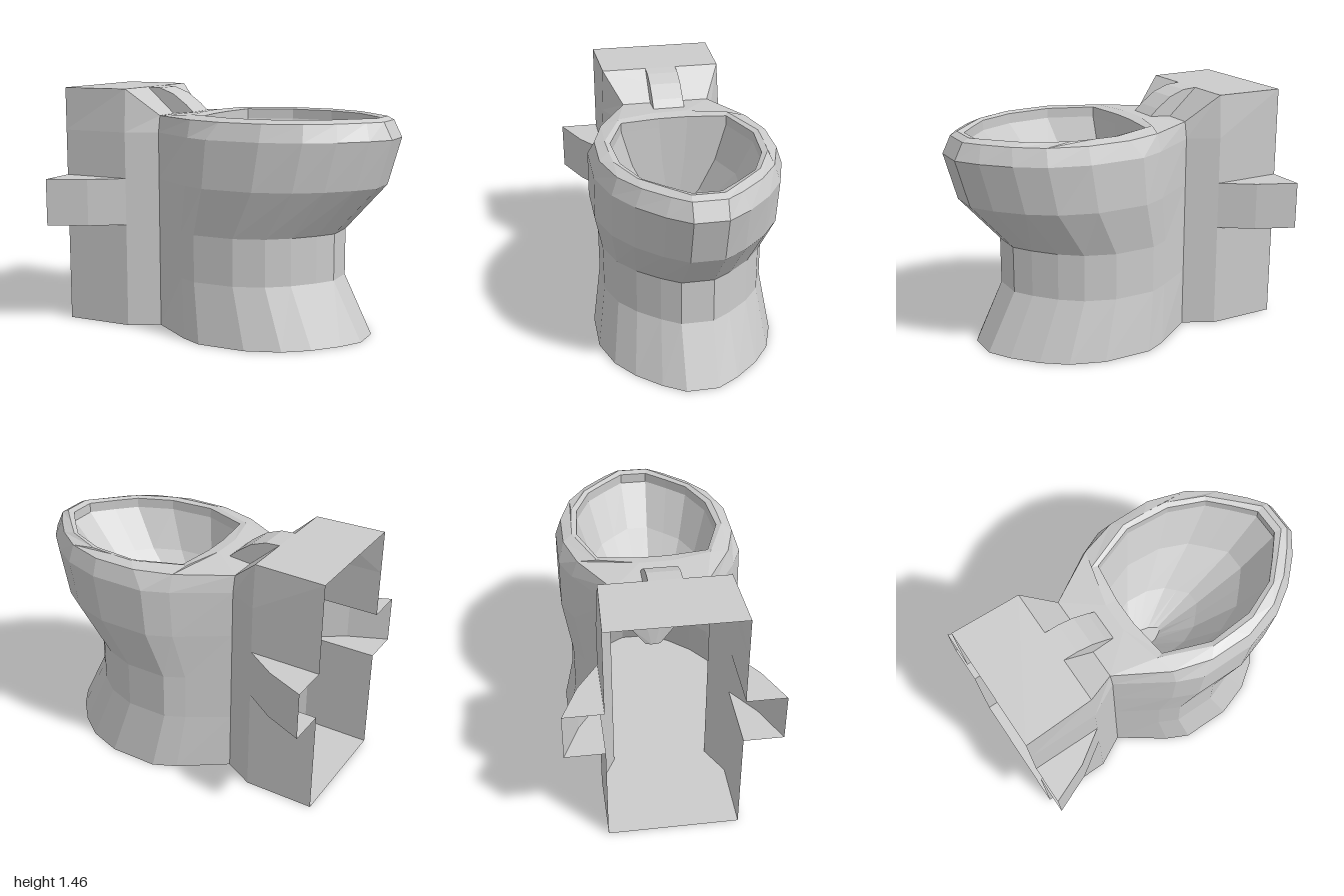
import * as THREE from 'three';

const material = new THREE.MeshStandardMaterial({ color: 0xcccccc, flatShading: true, side: THREE.DoubleSide });

// Surface through rows of [x, y, z] points, leaving out skipped quads
function loft(name, rows, skip = () => false) {
  const pos = [];
  const a = new THREE.Vector3(), b = new THREE.Vector3(), c = new THREE.Vector3();
  const tri = (p, q, r) => {
    a.fromArray(p); b.fromArray(q); c.fromArray(r);
    if (b.sub(a).cross(c.sub(a)).length() > 1e-7) pos.push(...p, ...q, ...r);
  };
  for (let i = 0; i < rows.length - 1; i++) {
    for (let j = 0; j < rows[i].length - 1; j++) {
      if (skip(i, j)) continue;
      const [p, q, r, s] = [rows[i][j], rows[i][j + 1], rows[i + 1][j + 1], rows[i + 1][j]];
      tri(p, q, r);
      tri(p, r, s);
    }
  }
  const geometry = new THREE.BufferGeometry();
  geometry.setAttribute('position', new THREE.Float32BufferAttribute(pos, 3));
  geometry.computeVertexNormals();
  const mesh = new THREE.Mesh(geometry, material);
  mesh.name = name;
  return mesh;
}

// Continue a +z half outline round the front to the -z side
const mirror = half => [...half, ...half.map(([x, y, z]) => [x, y, -z]).reverse()];
const closed = half => { const ring = mirror(half); return [...ring, ring[0]]; };

// Half outlines [x, z] running from the back to the front
const tankHalf = [[-1, 0.38], [-0.58, 0.38], [-0.4, 0.285]];
const bowlHalf = [[-0.1, 0.475], [0.05, 0.54], [0.38, 0.54], [0.61, 0.47], [0.77, 0.365], [0.91, 0.225], [1, 0.095]];
const topHalf = [[-1, 1.46, 0.38], [-0.58, 1.46, 0.365], [-0.4, 1.3, 0.265], [-0.1, 1.3, 0.44], [0.12, 1.3, 0.505],
  [0.38, 1.3, 0.505], [0.6, 1.3, 0.435], [0.755, 1.3, 0.325], [0.88, 1.3, 0.19], [0.95, 1.3, 0.095]];
const rimHalf = [[-0.19, 0.09], [-0.13, 0.33], [0.17, 0.45], [0.31, 0.445], [0.45, 0.435], [0.67, 0.335], [0.79, 0.215], [0.91, 0.09]];
const innerHalf = [[-0.12, 0.085], [-0.09, 0.32], [0.18, 0.42], [0.31, 0.41], [0.45, 0.4], [0.66, 0.31], [0.765, 0.2], [0.87, 0.08]];

// Body levels: height, front reach, side width
const levels = [[0, 0.84, 1], [0.355, 0.665, 0.9], [0.635, 0.665, 0.9], [0.92, 0.92, 1], [1.2, 1, 1]];

function level([y, front, width]) {
  const k = (front + 0.4) / 1.4;
  return [
    ...tankHalf.map(([x, z]) => [x, y, z]),
    ...bowlHalf.map(([x, z], i) => [-0.4 + (x + 0.4) * k, y, z * (i === 6 ? 1 : width)])
  ];
}

export function createModel() {
  const group = new THREE.Group();
  group.name = 'toilet';

  // Outer shell, open at the back and into the side brackets
  const last = 2 * topHalf.length - 2;
  const shellRows = [...levels.map(l => mirror(level(l))), mirror(topHalf)];
  group.add(loft('bodyShell', shellRows, (i, j) => i === 2 && (j === 0 || j === last)));

  // Base
  const outline = mirror(level(levels[0])).map(([x, , z]) => new THREE.Vector2(x, z));
  const base = new THREE.Mesh(new THREE.ShapeGeometry(new THREE.Shape(outline)).rotateX(Math.PI / 2), material);
  base.name = 'base';
  group.add(base);

  // Tank top and its slope down to the neck
  group.add(loft('tankTop', topHalf.slice(0, 3).map(([x, y, z]) => [[x, y, z], [x, y, -z]]).reverse()
    .map(row => row.reverse())));

  // Rim with a short inner wall
  const at = (half, y) => closed(half.map(([x, z]) => [x, y, z]));
  group.add(loft('rim', [closed(topHalf.slice(2)), at(rimHalf, 1.32), at(innerHalf, 1.31), at(innerHalf, 1.25)]));

  // Basin, steep at the back and narrowing to a slot: height, length, width
  const basinLevels = [[1.25, 1, 1], [1.02, 0.8, 0.8], [0.82, 0.5, 0.5], [0.67, 0.24, 0.14], [0.67, 0.24, 0]];
  group.add(loft('basin', basinLevels.map(([y, sx, sz]) =>
    closed(innerHalf.map(([x, z]) => [-0.12 + (x + 0.12) * sx, y, z * sz])))));

  // Flush hump over the tank slope
  const hump = new THREE.Shape([[-0.58, 1.46], [-0.4, 1.3], [-0.25, 1.3], [-0.31, 1.355], [-0.4, 1.42], [-0.495, 1.455]]
    .map(p => new THREE.Vector2(...p)));
  const humpMesh = new THREE.Mesh(
    new THREE.ExtrudeGeometry(hump, { depth: 0.19, bevelEnabled: false }).translate(0, 0, -0.095), material);
  humpMesh.name = 'flushHump';
  group.add(humpMesh);

  // Flared side brackets, open at the back
  const flare = [[-1, 0.61], [-0.77, 0.51], [-0.58, 0.38]];
  for (const side of [1, -1]) {
    const row = (y, wall) => flare.map(([x, z]) => [x, y, side * (wall ? 0.38 : z)]);
    const rows = [row(0.635, true), row(0.635, false), row(0.92, false), row(0.92, true)];
    group.add(loft(side > 0 ? 'bracketFront' : 'bracketBack', side > 0 ? rows : rows.reverse()));
  }
  return group;
}
